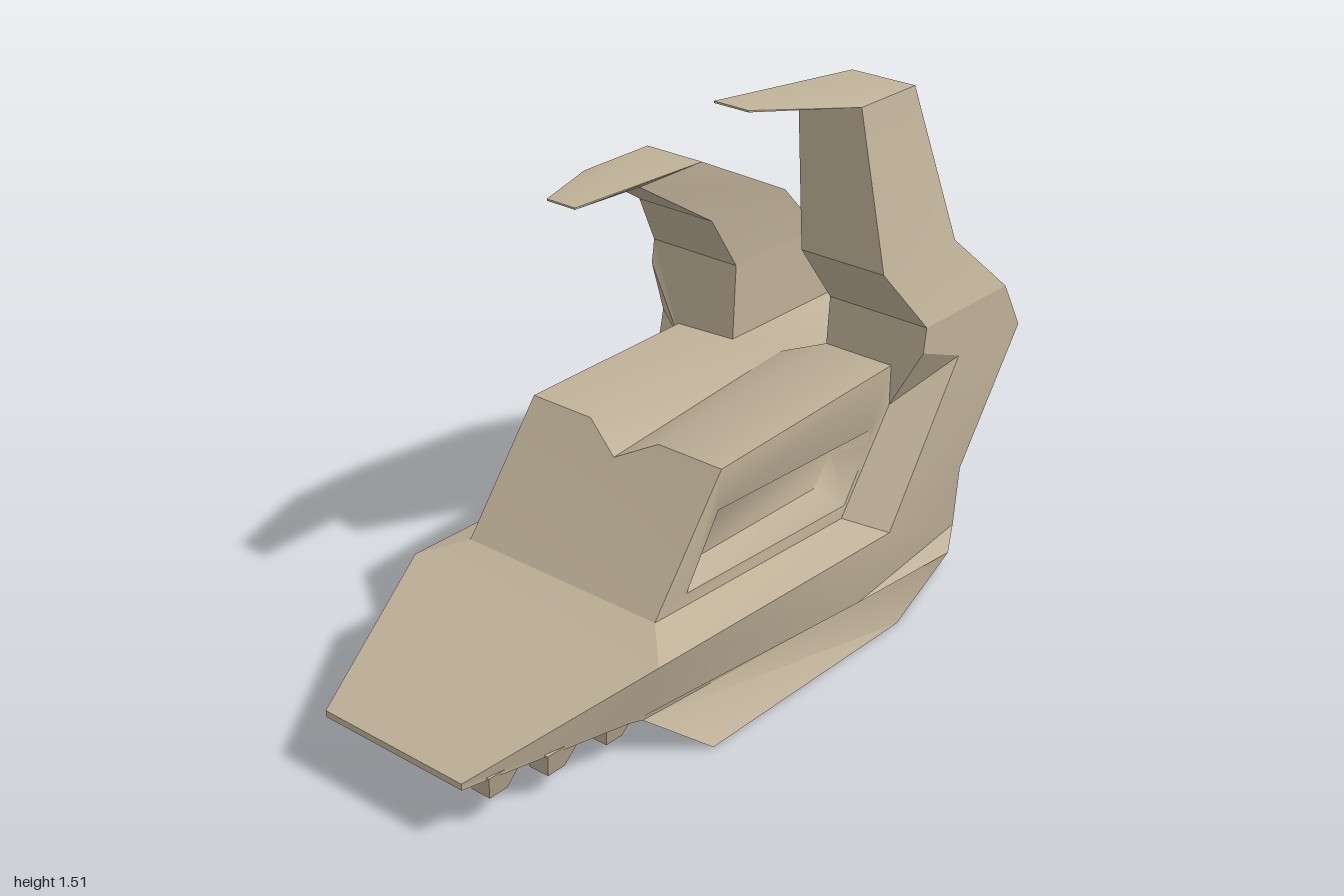
import * as THREE from 'three';
import { toCreasedNormals } from 'three/addons/utils/BufferGeometryUtils.js';

const material = new THREE.MeshStandardMaterial({ color: 0xbfb198, side: THREE.DoubleSide });
const SOFT = 1.1, SHARP = 0.3;

// Mesh from polygons, each fanned from its first corner; edges below the crease angle are smoothed
function part(name, polys, flip, crease) {
  const pos = [];
  for (const p of polys) {
    for (let i = 1; i < p.length - 1; i++) {
      const tri = flip ? [p[0], p[i + 1], p[i]] : [p[0], p[i], p[i + 1]];
      tri.forEach(v => pos.push(...v));
    }
  }
  const g = new THREE.BufferGeometry();
  g.setAttribute('position', new THREE.Float32BufferAttribute(pos, 3));
  const m = new THREE.Mesh(toCreasedNormals(g, crease), material);
  m.name = name;
  return m;
}

// Quads joining two rings of equal length
function bridge(a, b) {
  return a.map((p, i) => {
    const j = (i + 1) % a.length;
    return [p, a[j], b[j], b[i]];
  });
}

// Key depths (z) and heights of each side; the hull sits slightly off centre and its fins differ
const LEFT = {
  s: 1, nose: 0.28, rim: 0.465, rimBack: 0.467, cab: 0.365, cabRear: 0.365, notch: 0.37, chan: 0.16,
  fin: 0.47, inner: 0.155, low: 0.42, foot: 0.36, skirt: 0.468, belt: 0.36,
  roofY: 0.735, chanY: 0.735, notchY: 0.62, shoulder: [0.71, 0.735],
};
const RIGHT = {
  s: -1, nose: -0.19, rim: -0.375, rimBack: -0.40, cab: -0.27, cabRear: -0.35, notch: -0.37, chan: -0.07,
  fin: -0.47, inner: -0.17, low: -0.32, foot: -0.26, skirt: -0.388, belt: -0.27,
  roofY: 0.64, chanY: 0.65, notchY: 0.60, shoulder: [0.59, 0.64],
};

// Named hull corners for one side
function corners(d) {
  return {
    noseTop: [-1, 0.175, d.nose], noseLow: [-1, 0.157, d.nose],
    rimFront: [-0.51, 0.335, d.rim], rimBack: [0.43, 0.31, d.rimBack],
    beltFront: [-0.50, 0.125, d.belt], beltMid: [0.3, 0.15, d.rim], beltBack: [0.81, 0.16, d.low],
    waist: [0.75, 0.38, d.fin],
    cabFront: [-0.41, 0.375, d.cab], cabBack: [0.35, 0.35, d.cabRear],
    roofFront: [-0.16, 0.70, d.cab], roofBack: [0.54, d.roofY, d.notch], cabNotch: [0.54, d.notchY, d.notch],
    chanFront: [-0.16, 0.70, d.chan], chanBack: [0.54, d.chanY, d.inner],
    shoulder: [...d.shoulder, d.fin], finFront: [0.54, 0.80, d.fin],
    finRear: [1, 0.73, d.fin], finRearIn: [1, 0.65, d.inner],
    finTopF: [0.55, 0.87, d.fin], finTopR: [0.92, 0.87, d.fin],
    finTopFIn: [0.55, 0.87, d.inner], finTopRIn: [0.92, 0.87, d.inner],
    skirtFront: [-0.45, 0.11, d.belt], skirtBack: [0.72, 0.125, d.skirt],
    footFront: [-0.30, 0, d.rim], footMid: [0.49, 0, d.rim], footBack: [0.85, 0, d.foot],
  };
}

// Parts repeated on each flank
function buildSide(d) {
  const c = corners(d), flip = d.s < 0, g = new THREE.Group();
  g.name = flip ? 'rightFlank' : 'leftFlank';

  g.add(part('hullSide', [
    [c.noseTop, c.noseLow, c.beltFront, c.rimFront],
    [c.rimFront, c.beltFront, c.beltMid, c.rimBack],
    [c.rimBack, c.beltMid, c.beltBack, c.waist],
    [c.rimBack, c.waist, c.finRear, c.shoulder],
  ], flip, SOFT));

  g.add(part('undercut', [
    [c.beltFront, c.skirtFront, c.skirtBack, c.beltMid],
    [c.beltMid, c.skirtBack, c.beltBack],
  ], flip, SHARP));

  g.add(part('sideLedge', [
    [c.rimFront, c.rimBack, c.cabBack, c.cabFront],
    [c.rimBack, c.shoulder, c.cabNotch, c.cabBack],
    [c.finFront, c.cabNotch, c.shoulder],
  ], flip, SHARP));

  // Cabin wall frames a softly sunken panel
  const outer = [c.cabFront, c.cabBack, c.cabNotch, c.roofBack, c.roofFront];
  const opening = [
    [-0.29, 0.405, d.cab], [0.36, 0.385, d.cabRear], [0.46, 0.53, d.cabRear],
    [0.46, 0.57, d.cabRear], [-0.17, 0.59, d.cab],
  ];
  const front = d.cab - d.s * 0.07, rear = d.cabRear - d.s * 0.08;
  const floor = [
    [-0.19, 0.43, front], [0.33, 0.42, rear], [0.40, 0.50, rear],
    [0.40, 0.535, rear], [-0.11, 0.55, front],
  ];
  g.add(part('recessedPanel', [...bridge(outer, opening), ...bridge(opening, floor), floor], flip, SOFT));

  g.add(part('finBase', [
    [c.finFront, c.shoulder, c.finRear, c.finTopR, c.finTopF],
    [c.finRear, c.finRearIn, c.finTopRIn, c.finTopR],
    [c.finRearIn, c.chanBack, c.finTopFIn, c.finTopRIn],
    [c.finTopF, c.finTopFIn, c.chanBack, c.roofBack, c.cabNotch, c.finFront],
  ], flip, SHARP));

  g.add(part('skirtSide', [
    [c.skirtFront, c.footFront, c.footMid, c.skirtBack],
    [c.skirtBack, c.footMid, c.footBack],
  ], flip, SOFT));
  return g;
}

// Fin lofted through sections: [rear x, y, front x, y, outer z, inner z]
function buildFin(name, sections, flip) {
  const rings = sections.map(([rx, ry, fx, fy, zo, zi]) =>
    [[fx, fy, zo], [rx, ry, zo], [rx, ry, zi], [fx, fy, zi]]);
  const polys = [rings[rings.length - 1]];
  for (let k = 0; k < rings.length - 1; k++) polys.push(...bridge(rings[k], rings[k + 1]));
  return part(name, polys, flip, SHARP);
}

export function createModel() {
  const model = new THREE.Group();
  const l = corners(LEFT), r = corners(RIGHT);
  model.add(buildSide(LEFT), buildSide(RIGHT));

  model.add(part('noseDeck', [
    [l.noseTop, l.rimFront, r.rimFront, r.noseTop],
    [l.rimFront, l.cabFront, r.cabFront, r.rimFront],
    [l.noseTop, r.noseTop, r.noseLow, l.noseLow],
  ], false, SOFT));

  // Cabin front and roof with a central V channel
  const vFront = [-0.2, 0.64, 0.045], vMid = [0.54, 0.665, 0], vBack = [0.91, 0.57, 0];
  model.add(part('cabinFront', [
    [vFront, r.chanFront, r.roofFront, r.cabFront, l.cabFront, l.roofFront, l.chanFront],
  ], false, SHARP));
  for (const [c, flip] of [[l, false], [r, true]]) {
    model.add(part('cabinRoof', [
      [c.roofFront, c.roofBack, c.chanBack, c.chanFront],
      [c.chanFront, c.chanBack, vMid, vFront],
      [c.chanBack, c.finRearIn, vBack, vMid],
    ], flip, SOFT));
  }

  // Stern, folded softly at the waist
  const midWaist = [0.75, 0.38, 0];
  model.add(part('stern', [
    [l.waist, midWaist, vBack, l.finRearIn, l.finRear],
    [r.waist, r.finRear, r.finRearIn, vBack, midWaist],
    [l.waist, l.beltBack, r.beltBack, r.waist, midWaist],
  ], false, SOFT));

  // Underside and skirt ends
  model.add(part('underside', [
    [l.noseLow, r.noseLow, r.beltFront, l.beltFront],
    [l.beltFront, r.beltFront, r.skirtFront, l.skirtFront],
    [l.beltBack, l.skirtBack, r.skirtBack, r.beltBack],
  ], false, SHARP));
  model.add(part('skirtEnds', [
    [l.skirtFront, r.skirtFront, r.footFront, l.footFront],
    [l.skirtBack, l.footBack, r.footBack, r.skirtBack],
    [l.footFront, r.footFront, r.footMid, r.footBack, l.footBack, l.footMid],
  ], false, SHARP));

  // Tall upright fin and low swept fin
  model.add(buildFin('tallFin', [
    [0.92, 0.87, 0.55, 0.87, 0.47, 0.155],
    [0.75, 1.04, 0.43, 1.04, 0.41, 0.145],
    [0.66, 1.47, 0.43, 1.47, 0.32, 0.12],
    [0.14, 1.508, 0.14, 1.503, 0.19, 0.08],
  ], false));
  model.add(buildFin('sweptFin', [
    [0.92, 0.87, 0.55, 0.87, -0.47, -0.17],
    [0.75, 1.04, 0.43, 1.04, -0.42, -0.16],
    [0.35, 1.24, 0.10, 1.24, -0.32, -0.13],
    [-0.18, 1.275, -0.18, 1.27, -0.19, -0.095],
  ], true));

  // Two rows of tapered teeth under the nose
  const cone = new THREE.CylinderGeometry(0.085, 0.042, 0.085, 4);
  cone.rotateY(Math.PI / 4);
  const tooth = toCreasedNormals(cone, SHARP);
  for (const [x, y, zl, zr] of [[-0.87, 0.118, 0.24, -0.15], [-0.70, 0.106, 0.27, -0.17], [-0.50, 0.097, 0.28, -0.185]]) {
    for (const z of [zl, zr]) {
      const m = new THREE.Mesh(tooth, material);
      m.name = 'tooth';
      m.position.set(x, y, z);
      model.add(m);
    }
  }
  return model;
}
